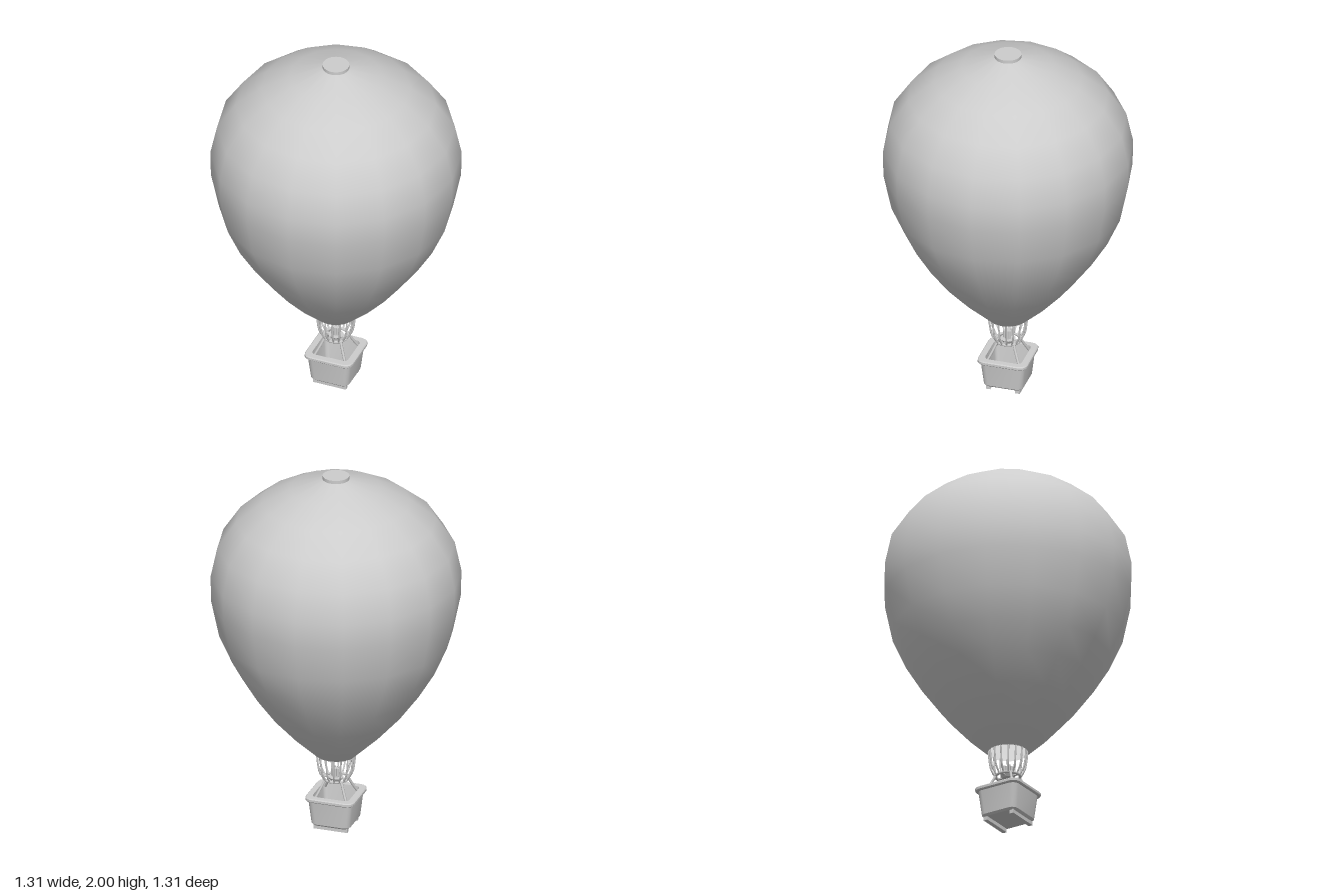
import * as THREE from 'three';
import { toCreasedNormals } from 'three/addons/utils/BufferGeometryUtils.js';

const V = (x, y, z) => new THREE.Vector3(x, y, z);

// Outline of a square with rounded corners, half width h, corner radius r
function roundedSquare(h, r, y, steps = 3) {
  const loop = [];
  for (let c = 0; c < 4; c++) {
    const mid = Math.PI / 4 + c * Math.PI / 2;
    const cx = Math.sign(Math.cos(mid)) * (h - r), cz = Math.sign(Math.sin(mid)) * (h - r);
    for (let i = 0; i <= steps; i++) {
      const a = (c + i / steps) * Math.PI / 2;
      loop.push(V(cx + r * Math.cos(a), y, cz + r * Math.sin(a)));
    }
  }
  return loop;
}

// Skin over [half width, corner radius, y] sections; the ends close to a point
function loft(sections) {
  const loops = sections.map(([h, r, y]) => roundedSquare(h, r, y));
  const n = loops[0].length, pos = [], index = [];
  loops.flat().forEach(p => pos.push(p.x, p.y, p.z));
  for (let s = 0; s < loops.length - 1; s++) {
    for (let i = 0; i < n; i++) {
      const a = s * n + i, b = s * n + (i + 1) % n;
      index.push(a, a + n, b, b, a + n, b + n);
    }
  }
  const g = new THREE.BufferGeometry();
  g.setAttribute('position', new THREE.Float32BufferAttribute(pos, 3));
  g.setIndex(index);
  return toCreasedNormals(g, 0.65);
}

export function createModel() {
  const model = new THREE.Group();
  model.name = 'hotAirBalloon';
  const grey = new THREE.MeshStandardMaterial({ color: 0xcccccc, side: THREE.DoubleSide });
  grey.name = 'lightGrey';

  function add(name, geometry, x = 0, y = 0, z = 0, parent = model) {
    const mesh = new THREE.Mesh(geometry, grey);
    mesh.name = name;
    mesh.position.set(x, y, z);
    parent.add(mesh);
    return mesh;
  }
  function group(name) {
    const g = new THREE.Group();
    g.name = name;
    model.add(g);
    return g;
  }
  const rod = (points, radius, segments) =>
    new THREE.TubeGeometry(new THREE.CatmullRomCurve3(points), segments, radius, 6);

  // Envelope, open at the mouth
  const profile = [
    [0.106, 0.403], [0.23, 0.52], [0.35, 0.652], [0.455, 0.795], [0.54, 0.935],
    [0.61, 1.093], [0.652, 1.295], [0.655, 1.437], [0.62, 1.6], [0.524, 1.743],
    [0.39, 1.85], [0.243, 1.925], [0.07, 1.982],
  ].map(([r, y]) => new THREE.Vector2(r, y));
  add('envelope', new THREE.LatheGeometry(profile, 16));
  add('crownCap', new THREE.CylinderGeometry(0.07, 0.07, 0.022, 32), 0, 1.989, 0);

  // Cables curving in from the mouth to the burner ring
  const cables = group('cables');
  for (let i = 0; i < 16; i++) {
    const cable = add('cable', rod([
      V(0.102, 0.412, 0), V(0.098, 0.36, 0), V(0.088, 0.305, 0), V(0.064, 0.264, 0),
    ], 0.0048, 8), 0, 0, 0, cables);
    cable.rotation.y = (i + 0.5) * Math.PI / 8;
  }

  // Burner: ring, cross bars, dish and nozzles
  const burner = group('burner');
  add('burnerRing', new THREE.TorusGeometry(0.064, 0.007, 8, 32).rotateX(Math.PI / 2), 0, 0.265, 0, burner);
  add('crossBar', new THREE.BoxGeometry(0.128, 0.008, 0.012), 0, 0.265, 0, burner);
  add('crossBar', new THREE.BoxGeometry(0.012, 0.008, 0.128), 0, 0.265, 0, burner);
  add('burnerDish', new THREE.CylinderGeometry(0.04, 0.03, 0.016, 20), 0, 0.264, 0, burner);
  add('burnerBody', new THREE.CylinderGeometry(0.016, 0.016, 0.05, 12), 0, 0.295, 0, burner);
  for (const x of [-1, 1]) for (const z of [-1, 1])
    add('nozzle', new THREE.CylinderGeometry(0.008, 0.008, 0.042, 10), x * 0.014, 0.304, z * 0.014, burner);

  // Struts from the basket corners up to the ring
  const struts = group('struts');
  for (const x of [-1, 1]) for (const z of [-1, 1])
    add('strut', rod([
      V(x * 0.088, 0.165, z * 0.088), V(x * 0.064, 0.218, z * 0.064), V(x * 0.045, 0.265, z * 0.045),
    ], 0.007, 4), 0, 0, 0, struts);

  // Hollow basket, from the underside up the outside and down the inside
  add('basket', loft([
    [0.001, 0.0005, 0.02], [0.097, 0.026, 0.02], [0.107, 0.032, 0.03], [0.121, 0.034, 0.165],
    [0.1, 0.024, 0.165], [0.09, 0.022, 0.04], [0.001, 0.0005, 0.04],
  ]));
  add('basketRim', loft([
    [0.098, 0.024, 0.163], [0.13, 0.036, 0.163], [0.135, 0.04, 0.168], [0.135, 0.04, 0.18],
    [0.13, 0.036, 0.185], [0.1, 0.024, 0.185], [0.098, 0.024, 0.163],
  ]));

  // Skids under the floor
  for (const z of [-1, 1])
    add('skid', new THREE.BoxGeometry(0.186, 0.024, 0.024), 0, 0.012, z * 0.08);

  return model;
}
